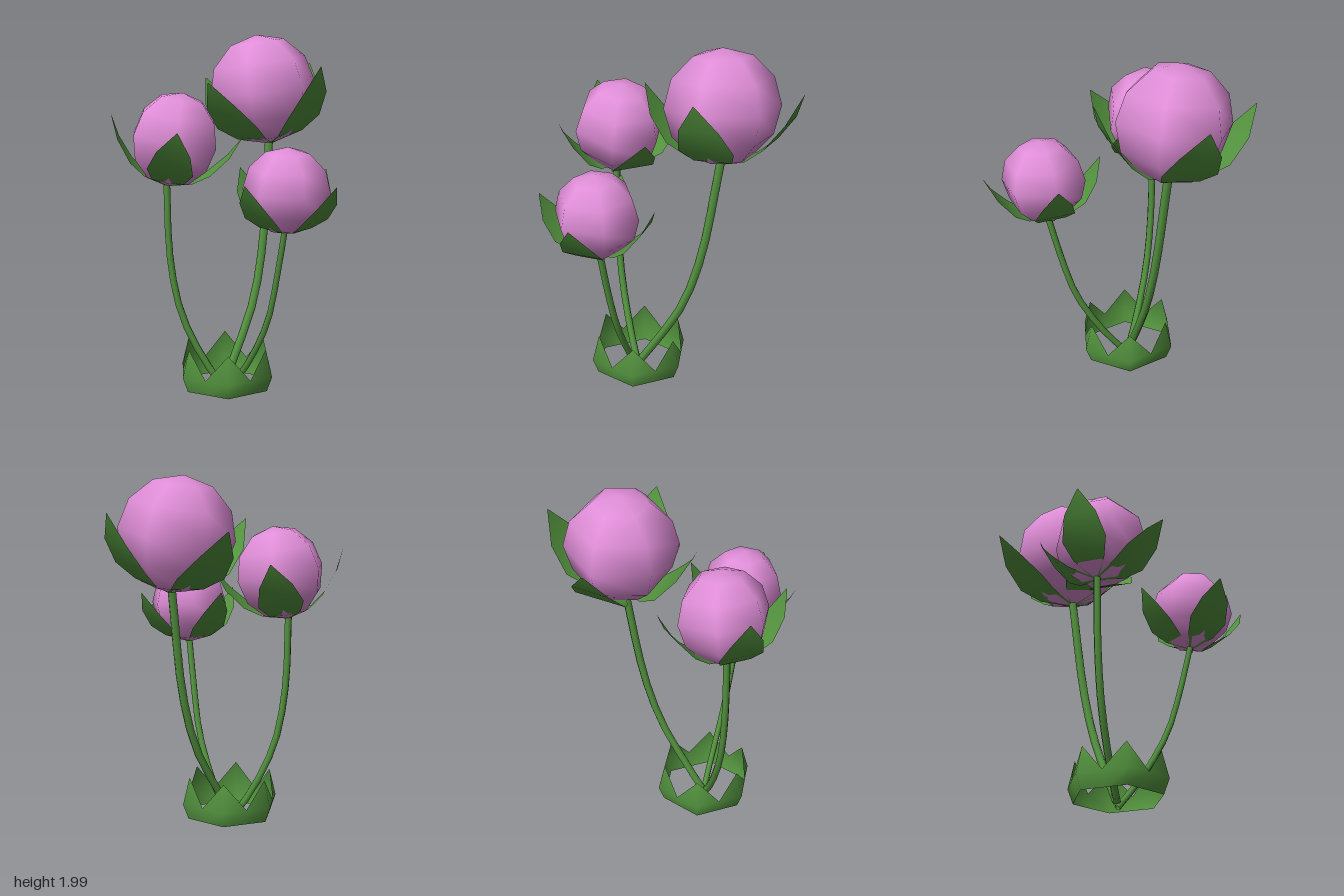
import * as THREE from 'three';

const green = new THREE.MeshStandardMaterial({ color: 0x54943f, side: THREE.DoubleSide });
const pink = new THREE.MeshStandardMaterial({ color: 0xe08ed8 });

function mesh(name, geometry, material) {
  const m = new THREE.Mesh(geometry, material);
  m.name = name;
  return m;
}

function surface(points, index) {
  const g = new THREE.BufferGeometry();
  g.setAttribute('position', new THREE.Float32BufferAttribute(points.flat(), 3));
  g.setIndex(index);
  g.computeVertexNormals();
  return g;
}

// Leaf growing from the flower base: [outward, up, half width] for a bulb of radius 1
function sepalGeometry() {
  const rows = [[0, 0, 0.04], [0.5, 0.17, 0.34], [0.84, 0.42, 0.48], [1.18, 0.84, 0.35], [1.41, 1.31, 0.01]];
  const points = [], index = [];
  rows.forEach(([out, up, w], i) => {
    points.push([out, up, w], [out, up, -w]);
    if (i) {
      const a = 2 * i - 2;
      index.push(a, a + 2, a + 1, a + 1, a + 2, a + 3);
    }
  });
  return surface(points, index);
}

// Six-sided bulb held by four sepals, leaning along an axis from its base
function flower(name, base, radius, lean, bulbTurn, sepalTurn) {
  const group = new THREE.Group();
  group.name = name;
  group.position.set(...base);
  group.scale.setScalar(radius);
  group.quaternion.setFromUnitVectors(new THREE.Vector3(0, 1, 0), new THREE.Vector3(...lean).normalize());
  const bulb = mesh('bulb', new THREE.SphereGeometry(1, 6, 6), pink);
  bulb.position.y = 1;
  bulb.rotation.y = THREE.MathUtils.degToRad(bulbTurn);
  group.add(bulb);
  const geometry = sepalGeometry();
  for (let i = 0; i < 4; i++) {
    const sepal = mesh('sepal', geometry, green);
    sepal.rotation.y = THREE.MathUtils.degToRad(sepalTurn + 90 * i);
    group.add(sepal);
  }
  return group;
}

function stem(name, points, radius) {
  const curve = new THREE.CatmullRomCurve3(points.map(p => new THREE.Vector3(...p)));
  return mesh(name, new THREE.TubeGeometry(curve, 9, radius, 6), green);
}

// Open hexagonal collar whose six corners rise to points
function collarGeometry() {
  const points = [], index = [];
  const at = (angle, r, y) => points.push([r * Math.cos(angle), y, r * Math.sin(angle)]);
  const flat = Math.cos(Math.PI / 6);
  for (let i = 0; i < 6; i++) {
    const a = Math.PI / 6 + i * Math.PI / 3, half = a + Math.PI / 6;
    at(a, 0.253, 0.06);
    at(a, 0.285, 0.145);
    at(a, 0.245, 0.3);
    at(half, 0.253 * flat, 0.06);
    at(half, 0.285 * flat, 0.15);
    const b = 5 * i, n = 5 * ((i + 1) % 6);
    index.push(b, b + 1, b + 3, b + 3, b + 1, b + 4);
    index.push(b + 3, b + 4, n, n, b + 4, n + 1);
    index.push(b + 1, b + 2, b + 4, b + 4, n + 2, n + 1);
  }
  return surface(points, index);
}

export function createModel() {
  const model = new THREE.Group();
  model.name = 'flowerBunch';

  // Leafy collar at the foot
  const collar = mesh('collar', collarGeometry(), green);
  collar.position.set(0.023, 0, 0.045);
  model.add(collar);

  // Curved stems spreading from one foot
  model.add(
    stem('rightStem', [[0.01, 0.04, 0.045], [-0.1, 0.2, 0.045], [-0.23, 0.48, 0.045], [-0.29, 0.8, 0.045], [-0.305, 1.22, 0.045]], 0.021),
    stem('backStem', [[0, 0.04, 0.045], [0.07, 0.2, -0.03], [0.18, 0.48, -0.15], [0.24, 0.8, -0.235], [0.28, 1.4, -0.325]], 0.023),
    stem('frontStem', [[0.025, 0.015, 0.04], [0.13, 0.2, 0.14], [0.235, 0.48, 0.26], [0.28, 0.75, 0.33], [0.315, 1.02, 0.385]], 0.018)
  );

  // Flowers
  model.add(
    flower('rightFlower', [-0.305, 1.2, 0.042], 0.258, [0.18, 1, 0], 30, 0),
    flower('backFlower', [0.29, 1.38, -0.33], 0.312, [-0.14, 1, -0.04], 11, 45),
    flower('frontFlower', [0.315, 1, 0.385], 0.231, [0.02, 1, 0.05], -11, 45)
  );
  return model;
}
